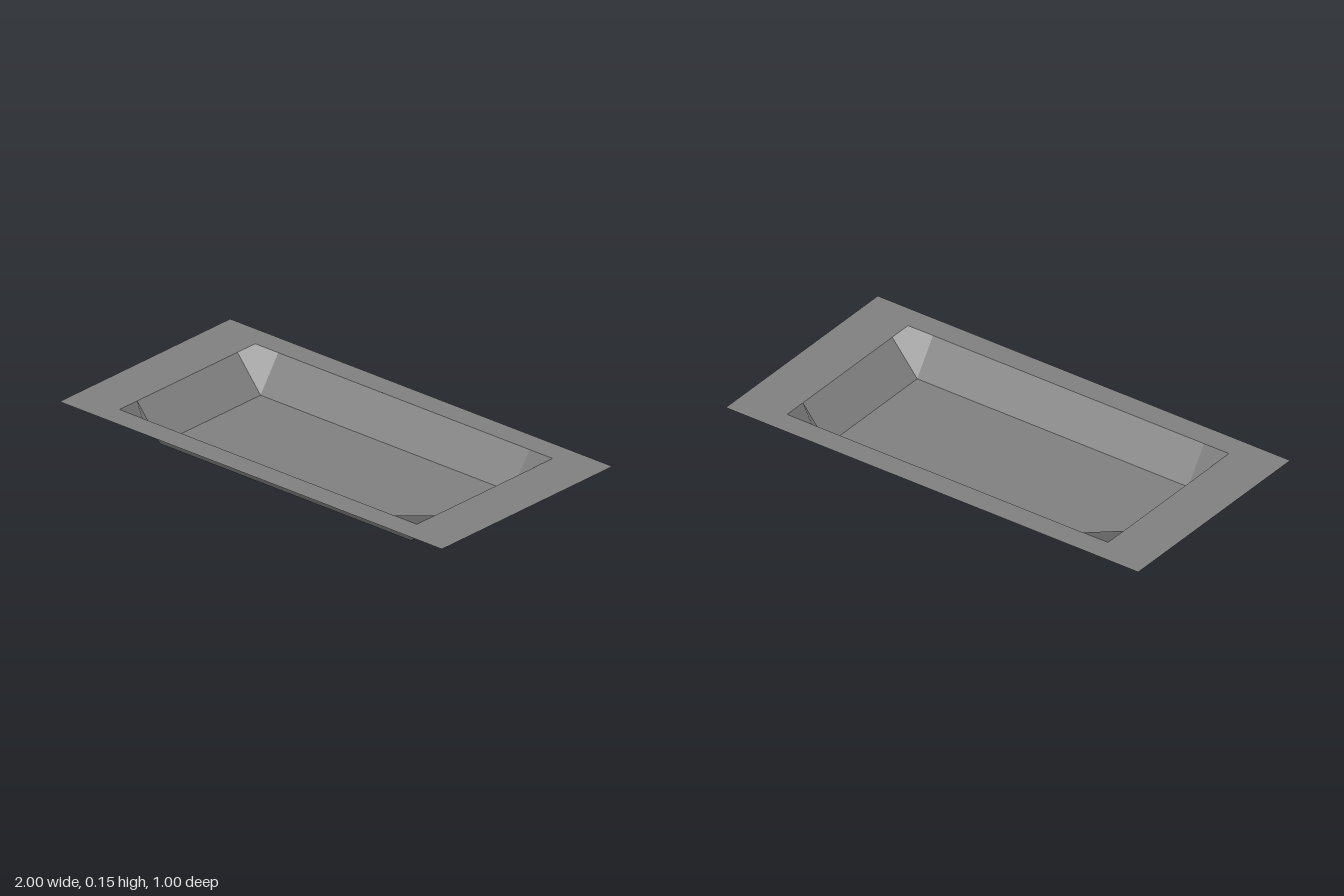
import * as THREE from 'three';

const H = 0.147;                    // rim height
const RX = 1, RZ = 0.5;             // outer rim
const OX = 0.778, OZ = 0.398;       // basin opening
const FX = 0.657, FZ = 0.294;       // basin floor

// Four-cornered panel, split along a-c, with one shared upward normal
function panel(a, b, c, d) {
  let p = [a, b, c, d].map((q) => new THREE.Vector3(...q));
  const normalOf = () => p[2].clone().sub(p[0]).cross(p[3].clone().sub(p[1])).normalize();
  if (normalOf().y < 0) p = [p[0], p[3], p[2], p[1]];
  const n = normalOf();
  const g = new THREE.BufferGeometry().setFromPoints(p);
  g.setAttribute('normal', new THREE.Float32BufferAttribute(p.flatMap(() => n.toArray()), 3));
  g.setIndex([0, 1, 2, 0, 2, 3]);
  return g;
}

export function createModel() {
  const group = new THREE.Group();
  const grey = new THREE.MeshStandardMaterial({ color: 0x808080, side: THREE.DoubleSide });
  grey.name = 'grey';
  const add = (name, geometry) => {
    const mesh = new THREE.Mesh(geometry, grey);
    mesh.name = name;
    group.add(mesh);
  };

  // Flat rim with a rectangular opening
  const rect = (Type, x, z) => new Type([[-x, -z], [x, -z], [x, z], [-x, z]].map((q) => new THREE.Vector2(...q)));
  const rim = rect(THREE.Shape, RX, RZ);
  rim.holes.push(rect(THREE.Path, OX, OZ));
  add('rim', new THREE.ShapeGeometry(rim).rotateX(-Math.PI / 2).translate(0, H, 0));

  // Floor
  add('floor', panel([-FX, 0, -FZ], [-FX, 0, FZ], [FX, 0, FZ], [FX, 0, -FZ]));

  // Sloping walls and the corner pieces between them
  for (const s of [-1, 1]) {
    add(s > 0 ? 'frontWall' : 'backWall',
      panel([-FX, 0, s * FZ], [FX, 0, s * FZ], [FX, H, s * OZ], [-FX, H, s * OZ]));
    add(s > 0 ? 'leftWall' : 'rightWall',
      panel([s * FX, 0, -FZ], [s * FX, 0, FZ], [s * OX, H, FZ], [s * OX, H, -FZ]));
    for (const t of [-1, 1]) {
      add((t > 0 ? 'front' : 'back') + (s > 0 ? 'Left' : 'Right') + 'Corner',
        panel([s * OX, H, t * FZ], [s * OX, H, t * OZ], [s * FX, H, t * OZ], [s * FX, 0, t * FZ]));
    }
  }
  return group;
}
